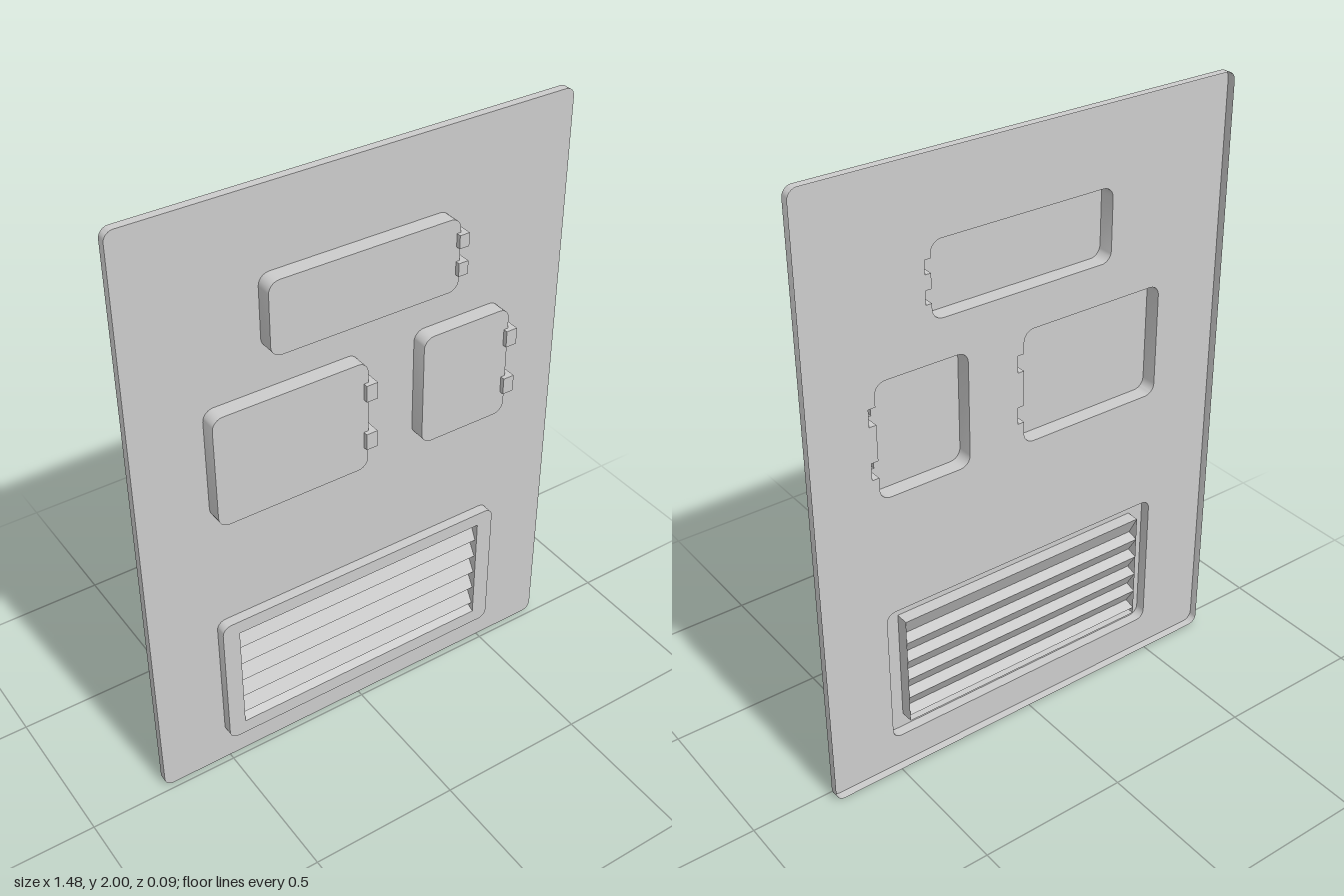
import * as THREE from 'three';
import { mergeGeometries, toCreasedNormals } from 'three/addons/utils/BufferGeometryUtils.js';

// Depths of the pressed sheet, from back to front
const BACK = -0.047, PLATE = -0.02, FRAME = 0.014, POCKET = 0.032, HINGE = 0.047;
const material = new THREE.MeshStandardMaterial({ color: 0xcccccc, side: THREE.DoubleSide });

// Counter-clockwise rounded rectangle, starting and ending on its +x edge
function roundRect(x0, x1, y0, y1, r) {
  const pts = [];
  const centres = [[x1 - r, y1 - r], [x0 + r, y1 - r], [x0 + r, y0 + r], [x1 - r, y0 + r]];
  centres.forEach(([cx, cy], i) => {
    for (let k = 0; k <= 6; k++) {
      const a = (i + k / 6) * Math.PI / 2;
      pts.push([cx + r * Math.cos(a), cy + r * Math.sin(a)]);
    }
  });
  return pts;
}

const rect = (x0, x1, y0, y1) => [[x1, y1], [x0, y1], [x0, y0], [x1, y0]];
const vectors = pts => pts.map(([x, y]) => new THREE.Vector2(x, y));

// Flat sheet facing +z, with optional holes
function face(outline, z, holes = []) {
  const shape = new THREE.Shape(vectors(outline));
  shape.holes = holes.map(h => new THREE.Path(vectors(h)));
  const g = new THREE.ShapeGeometry(shape).toNonIndexed();
  g.deleteAttribute('uv');
  return g.translate(0, 0, z);
}

// Ruled strip between two rows of 3D points
function strip(rowA, rowB) {
  const pos = [];
  for (let i = 0; i < rowA.length - 1; i++) {
    const [a, b, c, d] = [rowA[i], rowA[i + 1], rowB[i + 1], rowB[i]];
    pos.push(...a, ...b, ...c, ...a, ...c, ...d);
  }
  const g = new THREE.BufferGeometry();
  g.setAttribute('position', new THREE.Float32BufferAttribute(pos, 3));
  return toCreasedNormals(g, 0.5);
}

// Wall along an xy path from z0 to z1
function wall(path, z0, z1, closed = false) {
  const p = closed ? [...path, path[0]] : path;
  return strip(p.map(([x, y]) => [x, y, z0]), p.map(([x, y]) => [x, y, z1]));
}

function part(name, ...geometries) {
  const mesh = new THREE.Mesh(mergeGeometries(geometries), material);
  mesh.name = name;
  return mesh;
}

// Outline with rectangular notches in its +x edge, reaching to xn
function notched(p, xn) {
  const pts = roundRect(p.x0, p.x1, p.y0, p.y1, p.r);
  [...p.hinges].reverse().forEach(y => {
    const a = y - p.h / 2, b = y + p.h / 2;
    pts.push([p.x1, a], [xn, a], [xn, b], [p.x1, b]);
  });
  return pts;
}

// Raised hollow door with two hollow hinges on its +x edge
function door(p) {
  const group = new THREE.Group();
  group.name = p.name;
  const [top, bottom] = p.hinges, half = p.h / 2;
  const around = [[p.x1, top + half], ...roundRect(p.x0, p.x1, p.y0, p.y1, p.r), [p.x1, bottom - half]];
  const between = [[p.x1, bottom + half], [p.x1, top - half]];
  group.add(part('doorShell',
    face(notched(p, p.x1 - p.inset), POCKET),
    wall(around, PLATE, POCKET), wall(between, PLATE, POCKET)));
  p.hinges.forEach(y => {
    const a = y - half, b = y + half, xo = p.x1 + p.out, xi = p.x1 - p.inset;
    group.add(part('hinge',
      face(rect(xi, xo, a, b), HINGE),
      wall([[p.x1, a], [xo, a], [xo, b], [p.x1, b]], PLATE, HINGE),
      wall([[p.x1, b], [xi, b], [xi, a], [p.x1, a]], POCKET, HINGE)));
  });
  return group;
}

// Raised frame with a pleated louvre sheet in its opening
function vent(outline) {
  const group = new THREE.Group();
  group.name = 'vent';
  const x0 = -0.455, x1 = 0.45, yTop = 0.545, yBottom = 0.16;
  const opening = rect(x0, x1, yBottom, yTop);
  group.add(part('ventFrame',
    face(outline, FRAME, [opening]),
    wall(outline, PLATE, FRAME, true),
    wall(opening, -0.03, FRAME, true)));

  // Each slat slopes down to the front, then returns to the back
  const profile = [[yTop, -0.03]];
  for (let i = 0; i < 5; i++) {
    const y = 0.475 - i * 0.0705;
    profile.push([y, 0.006], [y - 0.011, -0.03]);
  }
  profile.push([yBottom, FRAME]);
  const row = x => profile.map(([y, z]) => [x, y, z]);
  group.add(part('louvres', strip(row(x0), row(x1))));
  return group;
}

export function createModel() {
  const model = new THREE.Group();
  model.name = 'panel';

  const doors = [
    { name: 'upperDoor', x0: -0.315, x1: 0.313, y0: 1.505, y1: 1.74, r: 0.035,
      hinges: [1.67, 1.58], h: 0.043, inset: 0.013, out: 0.02 },
    { name: 'wideDoor', x0: -0.508, x1: 0.002, y0: 0.998, y1: 1.375, r: 0.035,
      hinges: [1.275, 1.103], h: 0.056, inset: 0.015, out: 0.023 },
    { name: 'narrowDoor', x0: 0.198, x1: 0.508, y0: 0.998, y1: 1.375, r: 0.035,
      hinges: [1.275, 1.103], h: 0.056, inset: 0.015, out: 0.023 },
  ];
  const ventOutline = roundRect(-0.512, 0.508, 0.11, 0.592, 0.03);

  // Open-backed plate with a turned-back rim
  const outline = roundRect(-0.738, 0.738, 0, 2, 0.03);
  const holes = [...doors.map(d => notched(d, d.x1 + d.out)), ventOutline];
  model.add(part('plate', face(outline, PLATE, holes), wall(outline, BACK, PLATE, true)));

  doors.forEach(d => model.add(door(d)));
  model.add(vent(ventOutline));
  return model;
}
